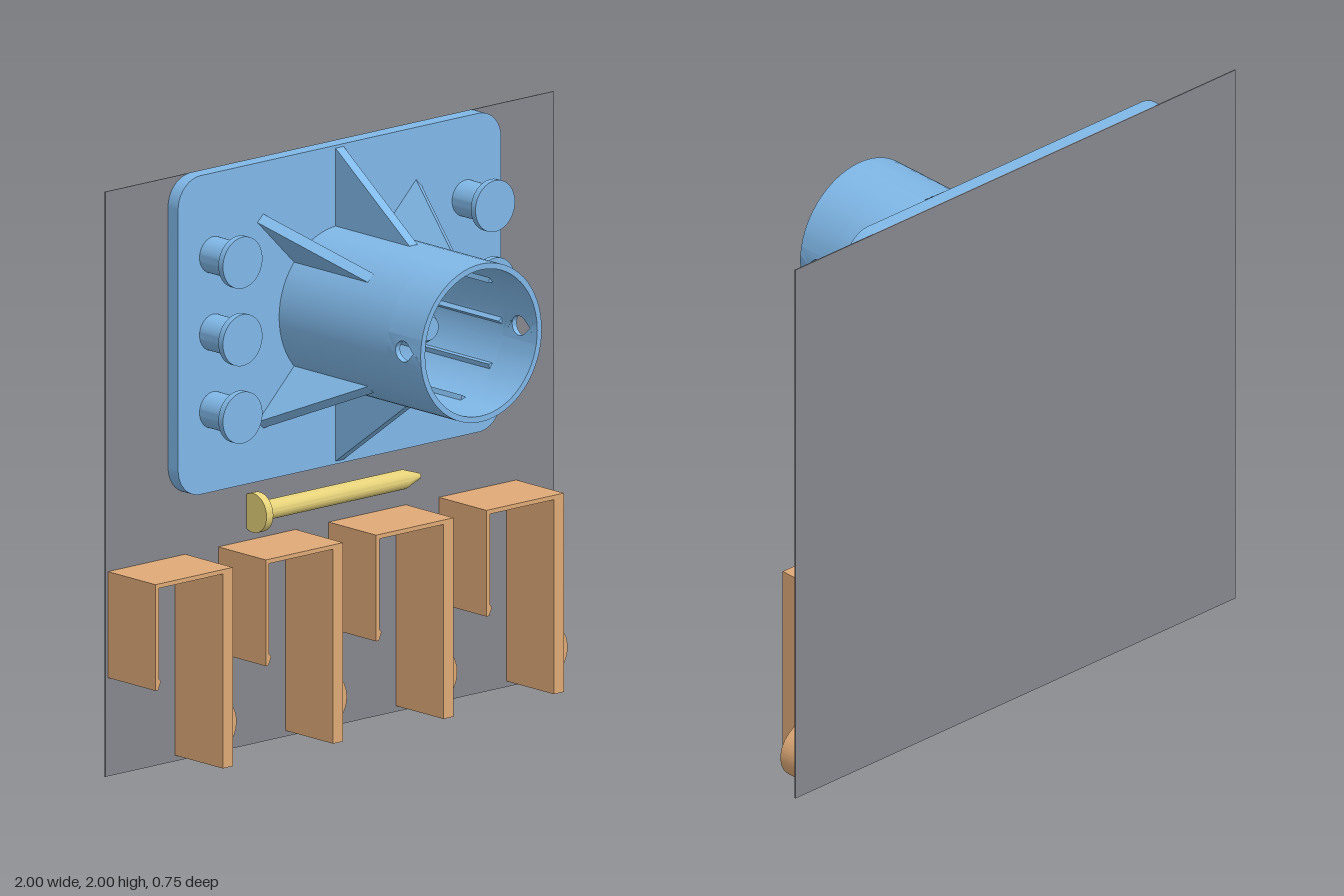
import * as THREE from 'three';
import { toCreasedNormals } from 'three/addons/utils/BufferGeometryUtils.js';

const BACK = -0.375, PLATE = -0.325, CY = 1.455;
const RO = 0.27, RI = 0.25, RIM = 0.375, SEG = 64;

const mat = (color) => new THREE.MeshStandardMaterial({ color });
const blue = mat(0x80b8e8), tan = mat(0xdfaa77), yellow = mat(0xe6d27a), grey = mat(0x86878e);

function add(parent, name, geo, material) {
  const m = new THREE.Mesh(toCreasedNormals(geo, 0.5), material);
  m.name = name;
  parent.add(m);
  return m;
}

const poly = (pts) => new THREE.Shape(pts.map(([x, y]) => new THREE.Vector2(x, y)));

const extrude = (shape, depth, z = 0) =>
  new THREE.ExtrudeGeometry(shape, { depth, bevelEnabled: false, curveSegments: 24 }).translate(0, 0, z);

// Turned solid with its axis along z
const turned = (pts, seg = 48, start = 0, len = Math.PI * 2) =>
  new THREE.LatheGeometry(pts.map(([r, y]) => new THREE.Vector2(r, y)), seg, start, len).rotateX(Math.PI / 2);

const ringProfile = (a, b) => [[RI, a], [RO, a], [RO, b], [RI, b], [RI, a]];

// Rounded mounting plate
function plateGeometry() {
  const w = 0.72, h = 0.545, r = 0.1, s = new THREE.Shape();
  s.absarc(w - r, h - r, r, 0, Math.PI / 2);
  s.absarc(r - w, h - r, r, Math.PI / 2, Math.PI);
  s.absarc(r - w, r - h, r, Math.PI, Math.PI * 1.5);
  s.absarc(w - r, r - h, r, Math.PI * 1.5, Math.PI * 2);
  return extrude(s, PLATE - BACK, BACK);
}

// Curved piece of tube wall with a teardrop hole, bent from a flat patch
function holePatch(angle, half, z0) {
  const pts = [];
  for (let i = -2; i <= 2; i++) pts.push([i / 2 * half * RO, z0]);
  for (let i = 2; i >= -2; i--) pts.push([i / 2 * half * RO, RIM]);
  const s = poly(pts), r = 0.036, c = 0.287;
  const hole = new THREE.Path();
  hole.absarc(0, c, r, Math.PI / 4, Math.PI * 0.75, true);
  hole.lineTo(0, c + r * Math.SQRT2);
  hole.closePath();
  s.holes.push(hole);
  const g = extrude(s, RO - RI), p = g.attributes.position;
  for (let i = 0; i < p.count; i++) {
    const rad = RI + p.getZ(i), a = angle + p.getX(i) / RO;
    p.setXYZ(i, rad * Math.cos(a), rad * Math.sin(a), p.getY(i));
  }
  return g;
}

function buildHolder() {
  const g = new THREE.Group();
  g.name = 'wallHolder';
  g.position.y = CY;
  add(g, 'mountingPlate', plateGeometry(), blue);

  // Tube: full ring below, two arcs and two pierced patches at the rim
  const split = 0.21, half = 2 * Math.PI * 2 / SEG;
  const tube = new THREE.Group();
  tube.name = 'tube';
  g.add(tube);
  add(tube, 'tubeWall', turned(ringProfile(PLATE, split), SEG), blue);
  for (const k of [0, 1]) {
    add(tube, 'rimArc', turned(ringProfile(split, RIM), SEG / 2 - 4,
      Math.PI / 2 + half + k * Math.PI, Math.PI - 2 * half), blue);
    add(tube, 'pinHoleWall', holePatch(k * Math.PI, half, split), blue);
  }

  // Small wedge ribs along the inside of the tube
  for (let i = 0; i < 10; i++) {
    const rib = poly([[0.236, 0], [0.253, -0.014], [0.253, 0.014]]);
    add(g, 'innerRib', extrude(rib, 0.525, PLATE).rotateZ(i * Math.PI / 5), blue);
  }

  // Central peg with a tapered head
  add(g, 'centrePeg', turned([[0, PLATE], [0.045, PLATE], [0.045, 0.03],
    [0.07, 0.05], [0.07, 0.07], [0.04, 0.12], [0, 0.12]]), blue);

  // Gussets between tube and plate
  for (const deg of [45, 90, 135, 225, 270, 315]) {
    const tip = deg % 90 ? 0.5 : 0.535, t = 0.036;
    const fin = poly([[0.255, PLATE], [tip, PLATE], [RO, 0.04], [0.255, 0.04]]);
    const geo = extrude(fin, t, -t / 2).rotateX(Math.PI / 2).rotateZ(deg * Math.PI / 180);
    add(g, 'gusset', geo, blue);
  }

  // Hanging knobs
  for (const x of [-0.563, 0.563]) for (const y of [-0.265, 0, 0.265]) {
    const knob = add(g, 'hangingKnob', turned([[0, PLATE], [0.062, PLATE], [0.062, -0.225],
      [0.088, -0.203], [0.088, -0.18], [0, -0.18]]), blue);
    knob.position.set(x, y, 0);
  }
  return g;
}

// Pin lying on its side, flattened where it meets the sheet
function pinGeometry() {
  const pts = [[0, -0.37], [0.067, -0.37], [0.067, -0.34], [0.033, -0.34], [0.033, 0.3], [0.01, 0.37], [0, 0.37]];
  const g = new THREE.LatheGeometry(pts.map(([r, y]) => new THREE.Vector2(r, y)), 48)
    .rotateZ(-Math.PI / 2).translate(0, 0.8, -0.343);
  const p = g.attributes.position;
  for (let i = 0; i < p.count; i++) p.setZ(i, Math.max(p.getZ(i), BACK));
  return g;
}

// Clip: hooked strap with a thick leg and a drilled ear
function buildClip(x) {
  const g = new THREE.Group();
  g.name = 'clip';
  g.position.x = x;
  const strap = poly([[0, 0.7], [0, 0.337], [0.012, 0.337], [0.024, 0.365], [0.015, 0.375], [0.015, 0.685],
    [0.3, 0.685], [0.3, 0.02], [0.345, 0.02], [0.345, 0.7]]);
  add(g, 'clipStrap', extrude(strap, 0.235, BACK), tan);

  const cx = 0.404, cy = 0.117, r = 0.097;
  const ear = new THREE.Shape();
  ear.moveTo(0.335, 0.29);
  ear.lineTo(0.335, cy - r);
  ear.lineTo(cx, cy - r);
  ear.absarc(cx, cy, r, -Math.PI / 2, 0.93);
  ear.lineTo(0.345, 0.283);
  const hole = new THREE.Path();
  hole.absarc(cx, cy, 0.056, 0, Math.PI * 2, true);
  ear.holes.push(hole);
  add(g, 'clipEar', extrude(ear, 0.08, BACK), tan);
  return g;
}

export function createModel() {
  const model = new THREE.Group();
  model.name = 'holderSet';

  // Thin backing sheet
  const sheet = new THREE.BoxGeometry(2, 2, 0.004).translate(0, 1, -0.377);
  add(model, 'backingSheet', sheet, grey);

  model.add(buildHolder());
  add(model, 'pin', pinGeometry(), yellow);
  for (let i = 0; i < 4; i++) model.add(buildClip(-0.988 + i * 0.492));
  return model;
}
